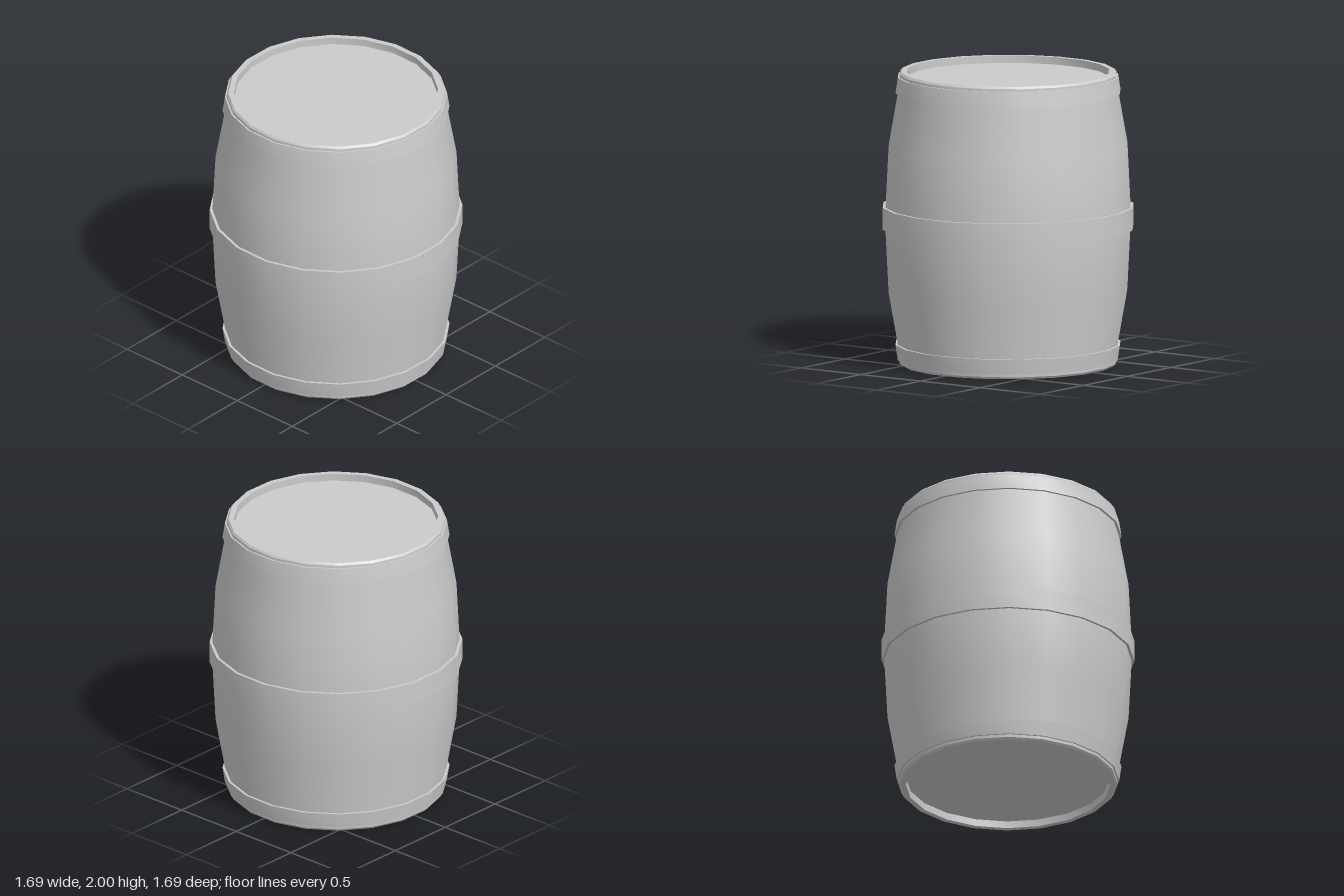
import * as THREE from 'three';
import { toCreasedNormals } from 'three/addons/utils/BufferGeometryUtils.js';

const SIDES = 20;
const TURN = THREE.MathUtils.degToRad(8.1); // slight twist of the 20-sided ring

export function createModel() {
  const group = new THREE.Group();
  const material = new THREE.MeshStandardMaterial({ color: 0xcccccc });

  function add(name, geometry) {
    const mesh = new THREE.Mesh(geometry, material);
    mesh.name = name;
    group.add(mesh);
    return mesh;
  }

  // Turned part from a [radius, height] profile, smooth around, sharp at edges
  function turned(name, profile) {
    const points = profile.map(([r, y]) => new THREE.Vector2(r, y));
    return add(name, toCreasedNormals(new THREE.LatheGeometry(points, SIDES, TURN), 0.6));
  }

  // Bulging staves with a raised rim at both ends: lower half, mirrored upward
  const half = [[0.69, 0.05], [0.69, 0], [0.728, 0], [0.74, 0.015], [0.744, 0.1], [0.815, 0.5]];
  const upper = half.map(([r, y]) => [r, 2 - y]).reverse();
  turned('staves', [...half, [0.84, 1], ...upper]);

  // Hoops: [inner, outer] radius at the bottom and at the top edge
  function hoop(name, y0, r0, y1, r1) {
    turned(name, [[r0 - 0.06, y0], [r0, y0], [r1, y1], [r1 - 0.06, y1]]);
  }
  hoop('bottomHoop', 0.035, 0.752, 0.14, 0.768);
  hoop('middleHoop', 0.93, 0.855, 1.08, 0.855);
  hoop('topHoop', 1.86, 0.768, 1.967, 0.752);

  // Recessed heads
  const topHead = add('topHead', new THREE.CircleGeometry(0.69, SIDES, TURN));
  topHead.rotation.x = -Math.PI / 2;
  topHead.position.y = 1.95;
  const bottomHead = add('bottomHead', new THREE.CircleGeometry(0.69, SIDES, -TURN));
  bottomHead.rotation.x = Math.PI / 2;
  bottomHead.position.y = 0.05;

  return group;
}
